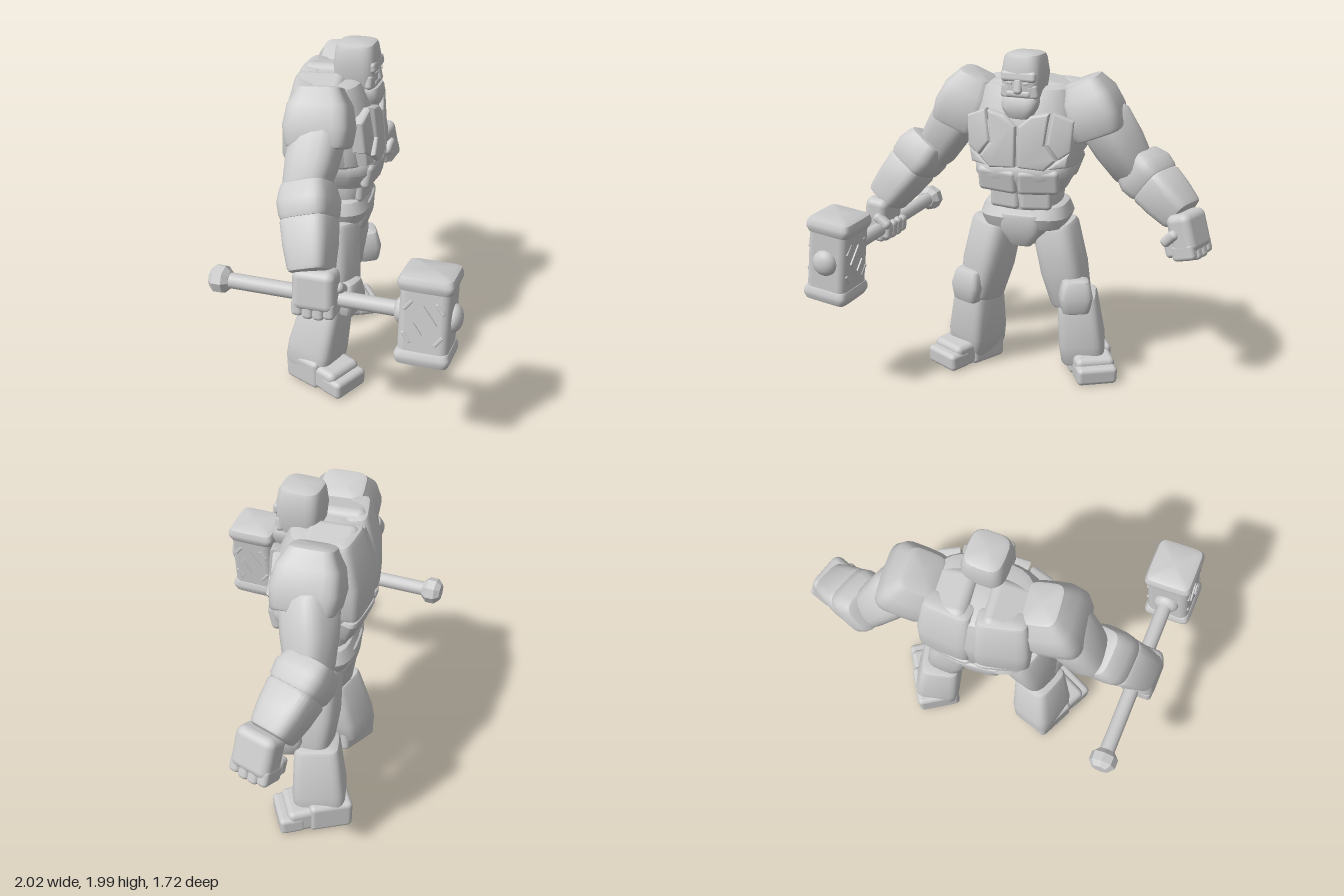
import * as THREE from 'three';
import { toCreasedNormals } from 'three/addons/utils/BufferGeometryUtils.js';
import { RoundedBoxGeometry } from 'three/addons/geometries/RoundedBoxGeometry.js';

const stone = new THREE.MeshStandardMaterial({ color: 0xcccccc });
stone.name = 'pale grey stone';
const V = (a) => new THREE.Vector3(...a);

function add(parent, name, geo) {
  const m = new THREE.Mesh(geo, stone);
  m.name = name;
  parent.add(m);
  return m;
}

// Squarish boulder lofted from p0 (lower end) to p1 (upper end); sections are [t, halfWidth, halfDepth]
function boulder(parent, name, p0, p1, sections, yaw = 0, bevel = 0.03, power = 3.6) {
  const N = 24, a = V(p0), b = V(p1), len = a.distanceTo(b);
  const up = b.clone().sub(a).normalize();
  const wide = new THREE.Vector3(Math.cos(yaw), 0, -Math.sin(yaw));
  wide.addScaledVector(up, -wide.dot(up)).normalize();
  const deep = wide.clone().cross(up);
  const first = sections[0], last = sections[sections.length - 1], e = bevel / len;
  const rings = [
    [0, first[1] - bevel, first[2] - bevel], [e * 0.3, first[1] - bevel * 0.3, first[2] - bevel * 0.3],
    [e, first[1], first[2]], ...sections.slice(1, -1), [1 - e, last[1], last[2]],
    [1 - e * 0.3, last[1] - bevel * 0.3, last[2] - bevel * 0.3], [1, last[1] - bevel, last[2] - bevel],
  ];
  const pos = [], idx = [];
  const round = (v) => Math.sign(v) * Math.abs(v) ** (2 / power);
  for (const [t, w, d] of rings) {
    const c = a.clone().lerp(b, t);
    for (let j = 0; j < N; j++) {
      const g = (j / N) * Math.PI * 2;
      const p = c.clone().addScaledVector(wide, round(Math.cos(g)) * w).addScaledVector(deep, round(Math.sin(g)) * d);
      pos.push(p.x, p.y, p.z);
    }
  }
  const R = rings.length;
  for (let i = 0; i < R - 1; i++) for (let j = 0; j < N; j++) {
    const k = i * N + j, n = i * N + (j + 1) % N;
    idx.push(k, k + N, n, n, k + N, n + N);
  }
  pos.push(...a.toArray(), ...b.toArray());
  for (let j = 0; j < N; j++) {
    const n = (j + 1) % N, o = (R - 1) * N;
    idx.push(R * N, j, n, R * N + 1, o + n, o + j);
  }
  const geo = new THREE.BufferGeometry();
  geo.setAttribute('position', new THREE.Float32BufferAttribute(pos, 3));
  geo.setIndex(idx);
  geo.computeVertexNormals();
  return add(parent, name, toCreasedNormals(geo, 0.6));
}

function block(parent, name, size, at, rot = [0, 0, 0], r = 0.03) {
  const m = add(parent, name, new RoundedBoxGeometry(...size, 3, Math.min(r, Math.min(...size) / 2.1)));
  m.position.set(...at);
  m.rotation.set(...rot);
  return m;
}

// Bevelled slab cut from a polygon outline, mirrored by side
function slab(parent, name, pts, side, depth, z, yaw, tilt = 0) {
  const outline = pts.map(([x, y]) => new THREE.Vector2(x * side, y));
  const geo = new THREE.ExtrudeGeometry(new THREE.Shape(outline), {
    depth, bevelEnabled: true, bevelSize: 0.016, bevelThickness: 0.02, bevelOffset: -0.012, bevelSegments: 3 });
  geo.translate(0, -1.5, 0);
  const m = add(parent, name, toCreasedNormals(geo, 0.6));
  m.position.set(0, 1.5, z);
  m.rotation.set(tilt, yaw * side, 0);
}

function group(parent, name, at, rot = [0, 0, 0]) {
  const g = new THREE.Group();
  g.name = name;
  g.position.set(...at);
  g.rotation.set(...rot);
  parent.add(g);
  return g;
}

function buildTorso(body) {
  boulder(body, 'chest', [0, 1.2, 0], [0, 1.79, -0.02], [[0, 0.23, 0.22], [0.25, 0.305, 0.265], [0.65, 0.32, 0.26], [1, 0.27, 0.2]], 0, 0.05, 3);
  boulder(body, 'ribBand', [0, 1.18, 0.01], [0, 1.36, 0.01], [[0, 0.24, 0.22], [0.6, 0.29, 0.265], [1, 0.29, 0.265]], 0, 0.025, 3.2);
  boulder(body, 'waist', [0, 1.02, 0.01], [0, 1.24, 0.01], [[0, 0.2, 0.17], [1, 0.215, 0.2]], 0, 0.02, 3);
  boulder(body, 'belt', [0, 0.95, 0], [0, 1.105, 0], [[0, 0.25, 0.195], [0.5, 0.265, 0.21], [1, 0.25, 0.19]], 0, 0.035, 3.4);
  boulder(body, 'pelvis', [0, 0.84, 0], [0, 1.02, 0], [[0, 0.1, 0.13], [0.5, 0.16, 0.17], [1, 0.2, 0.18]], 0, 0.03, 3);
  for (const s of [1, -1])
    boulder(body, s > 0 ? 'frontPelvisPlate' : 'backPelvisPlate', [0, 0.85, s * 0.13], [0, 1.06, s * 0.17],
      [[0, 0.07, 0.04], [0.5, 0.12, 0.055], [1, 0.125, 0.045]], 0, 0.02);
  block(body, 'collar', [0.34, 0.16, 0.16], [0, 1.67, 0.12], [-0.4, 0, 0], 0.05);
  block(body, 'neck', [0.16, 0.22, 0.2], [0, 1.66, 0.08], [0, 0, 0], 0.05);
  for (const s of [1, -1]) {
    // Cracked chest plates
    slab(body, 'innerChestPlate', [[0.004, 1.35], [0.15, 1.34], [0.21, 1.4], [0.145, 1.48], [0.17, 1.66], [0.07, 1.64], [0.004, 1.58]], s, 0.07, 0.19, 0.1, -0.06);
    slab(body, 'outerChestPlate', [[0.225, 1.405], [0.29, 1.45], [0.3, 1.62], [0.185, 1.665], [0.158, 1.485]], s, 0.06, 0.21, 0.24, -0.08);
    slab(body, 'sideChestPlate', [[0.16, 1.345], [0.27, 1.36], [0.285, 1.44], [0.222, 1.395]], s, 0.05, 0.225, 0.24);
    block(body, 'bellyPlate', [0.185, 0.14, 0.06], [s * 0.091, 1.15, 0.168], [0.06, s * 0.18, 0]);
    block(body, 'ribPlate', [0.24, 0.15, 0.06], [s * 0.119, 1.265, 0.228], [0.22, s * 0.16, 0]);
    // Back slabs
    boulder(body, 'upperBackSlab', [s * 0.15, 1.36, -0.2], [s * 0.138, 1.8, -0.13],
      [[0, 0.15, 0.08], [0.45, 0.155, 0.1], [1, 0.135, 0.07]], -s * 0.14, 0.03, 4.5);
    boulder(body, 'lowerBackSlab', [s * 0.125, 1.22, -0.165], [s * 0.142, 1.375, -0.2],
      [[0, 0.125, 0.06], [1, 0.148, 0.075]], -s * 0.2, 0.025, 4.5);
    block(body, 'shoulderHump', [0.24, 0.14, 0.28], [s * 0.15, 1.735, -0.06], [0, 0, -s * 0.2], 0.05);
    // Shoulder armour leaning outward
    boulder(body, 'shoulderPad', [s * 0.43, 1.52, -0.01], [s * 0.305, 1.825, -0.015],
      [[0, 0.15, 0.175], [0.35, 0.163, 0.188], [0.7, 0.148, 0.168], [1, 0.11, 0.125]], 0, 0.025, 4.5);
  }
}

function buildHead(body) {
  const head = group(body, 'head', [0.01, 0, 0.13], [0, -0.1, 0]);
  boulder(head, 'skull', [0, 1.65, 0], [0, 1.985, -0.005], [[0, 0.09, 0.105], [0.3, 0.108, 0.118], [0.65, 0.123, 0.125], [1, 0.108, 0.112]], 0, 0.03, 3.6);
  block(head, 'brow', [0.205, 0.06, 0.04], [0, 1.862, 0.103], [-0.15, 0, 0], 0.019);
  block(head, 'nose', [0.05, 0.09, 0.04], [0, 1.81, 0.112], [-0.2, 0, 0], 0.018);
  block(head, 'upperLip', [0.15, 0.045, 0.045], [0, 1.765, 0.1], [0, 0, 0], 0.02);
  boulder(head, 'jaw', [0, 1.625, 0.05], [0, 1.75, 0.055], [[0, 0.085, 0.08], [0.5, 0.104, 0.088], [1, 0.108, 0.08]], 0, 0.025);
  for (const s of [1, -1]) {
    block(head, 'cheek', [0.07, 0.085, 0.045], [s * 0.075, 1.778, 0.088], [0, s * 0.3, s * 0.15], 0.02);
    block(head, 'eye', [0.035, 0.014, 0.012], [s * 0.05, 1.827, 0.118], [0, s * 0.2, s * 0.15], 0.005);
  }
}

// Closed fist: knuckles down, fingers lined up along local z, curling toward the body
function buildFist(root, name, at, rot, s) {
  const fist = group(root, name, at, rot);
  block(fist, 'palm', [0.15, 0.23, 0.235], [s * 0.02, 0.025, 0], [0, 0, 0], 0.045);
  for (let i = 0; i < 4; i++) {
    const z = -0.088 + i * 0.058, h = 0.1 + (i === 1 || i === 2 ? 0.012 : 0);
    block(fist, 'knuckle', [0.14, 0.1, 0.064], [s * 0.015, -0.075 - (h - 0.1), z], [0, 0, 0], 0.024);
    block(fist, 'finger', [0.07, h, 0.062], [-s * 0.06, -0.05, z], [0, 0, 0], 0.024);
  }
  block(fist, 'thumb', [0.12, 0.06, 0.065], [-s * 0.04, 0.015, 0.11], [0, 0, s * 0.5], 0.027);
}

function buildArm(root, side, shoulder, elbow, top, wrist, yaw) {
  boulder(root, side + 'UpperArm', elbow, shoulder, [[0, 0.115, 0.115], [0.5, 0.13, 0.14], [1, 0.14, 0.14]], yaw, 0.04, 3);
  const at = (t) => V(wrist).lerp(V(top), t).toArray();
  boulder(root, side + 'Gauntlet', at(0), at(0.62), [[0, 0.108, 0.112], [0.5, 0.122, 0.13], [1, 0.13, 0.138]], yaw, 0.025, 4);
  boulder(root, side + 'ElbowGuard', at(0.58), at(1.02), [[0, 0.135, 0.143], [0.5, 0.143, 0.15], [1, 0.125, 0.135]], yaw, 0.03, 4);
}

function buildLeg(root, side, p) {
  boulder(root, side + 'Thigh', p.knee, p.hip, [[0, 0.112, 0.122], [0.45, 0.128, 0.145], [1, 0.125, 0.14]], p.yaw * 0.6, 0.035, 3.4);
  boulder(root, side + 'Shin', p.ankle, p.shinTop, [[0, 0.134, 0.148], [0.3, 0.138, 0.152], [1, 0.118, 0.128]], p.yaw, 0.025, 4.8);
  boulder(root, side + 'KneePad', p.padLow, p.padHigh, [[0, 0.085, 0.07], [0.5, 0.1, 0.085], [1, 0.085, 0.07]], p.padYaw, 0.03, 4.5);
  const foot = group(root, side + 'Foot', p.foot, [0, p.footYaw, 0]);
  block(foot, 'heel', [0.26, 0.18, 0.25], [0, 0.09, -0.085], [0, 0, 0], 0.03);
  block(foot, 'instep', [0.24, 0.15, 0.22], [0, 0.079, 0.05], [0.08, 0, 0], 0.035);
  block(foot, 'toeCap', [0.245, 0.11, 0.15], [0, 0.056, 0.137], [0.06, 0, 0], 0.028);
}

function buildHammer(root) {
  const hammer = group(root, 'hammer', [-0.54, 0.86, 0.672], [0.02, 0.35, -0.12]);
  const shaft = add(hammer, 'shaft', new THREE.CylinderGeometry(0.043, 0.043, 1.1, 14).rotateX(Math.PI / 2));
  shaft.position.z = -0.6;
  const profile = [[0, -0.055], [0.05, -0.055], [0.078, -0.025], [0.078, 0.025], [0.05, 0.055], [0, 0.055]];
  const knob = add(hammer, 'pommel', toCreasedNormals(
    new THREE.LatheGeometry(profile.map(([x, y]) => new THREE.Vector2(x, y)), 8).rotateX(Math.PI / 2), 0.5));
  knob.position.z = -1.15;
  block(hammer, 'hammerCore', [0.25, 0.44, 0.27], [0, 0, 0], [0, 0, 0], 0.045);
  for (const s of [1, -1]) {
    boulder(hammer, 'hammerCap', [0, s * 0.205 - 0.05, 0], [0, s * 0.205 + 0.05, 0],
      [[0, 0.14, 0.15], [1, 0.14, 0.15]], 0, 0.04, 8);
    const boss = add(hammer, 'boss', new THREE.SphereGeometry(0.075, 20, 12).scale(1, 1, 0.65));
    boss.position.z = s * 0.135;
    // Raised diamond frame and corner studs on each side face
    const frame = new THREE.Shape([[0, 0.1], [-0.075, 0], [0, -0.1], [0.075, 0]].map((q) => new THREE.Vector2(...q)));
    frame.holes.push(new THREE.Path([[0, 0.065], [0.048, 0], [0, -0.065], [-0.048, 0]].map((q) => new THREE.Vector2(...q))));
    const d = add(hammer, 'diamondFrame', new THREE.ExtrudeGeometry(frame, { depth: 0.009, bevelEnabled: false }));
    d.position.x = s * 0.125;
    d.rotation.y = s * Math.PI / 2;
    for (const y of [1, -1]) for (const z of [1, -1])
      block(hammer, 'cornerStud', [0.02, 0.07, 0.02], [s * 0.12, y * 0.09, z * 0.085], [-y * z * 0.64, 0, 0], 0.006);
  }
}

export function createModel() {
  const root = new THREE.Group();
  root.name = 'stoneGolem';
  const body = group(root, 'body', [0, 0, -0.34], [0, 0.47, 0]);
  buildTorso(body);
  buildHead(body);
  buildArm(root, 'right', [-0.35, 1.64, -0.16], [-0.58, 1.29, -0.12], [-0.56, 1.39, -0.09], [-0.78, 1.02, 0.1], 0.3);
  buildArm(root, 'left', [0.36, 1.62, -0.55], [0.52, 1.27, -0.7], [0.5, 1.34, -0.71], [0.83, 1.09, -0.73], 0.05);
  buildFist(root, 'rightHand', [-0.765, 0.91, 0.12], [0, 0.35, -0.12], -1);
  buildFist(root, 'leftHand', [0.88, 0.985, -0.7], [0, 0.1, 0.3], 1);
  buildLeg(root, 'right', {
    hip: [-0.16, 0.97, -0.255], knee: [-0.245, 0.46, -0.19], shinTop: [-0.275, 0.51, -0.205], ankle: [-0.355, 0.08, -0.265], yaw: 0.05,
    padLow: [-0.25, 0.45, -0.09], padHigh: [-0.235, 0.66, -0.095], padYaw: 0.15, foot: [-0.36, 0, -0.17], footYaw: -0.08 });
  buildLeg(root, 'left', {
    hip: [0.14, 0.97, -0.42], knee: [0.24, 0.46, -0.48], shinTop: [0.24, 0.51, -0.525], ankle: [0.26, 0.08, -0.58], yaw: 0.65,
    padLow: [0.345, 0.45, -0.385], padHigh: [0.335, 0.66, -0.39], padYaw: 0.8, foot: [0.315, 0, -0.565], footYaw: 0.95 });
  buildHammer(root);
  return root;
}
